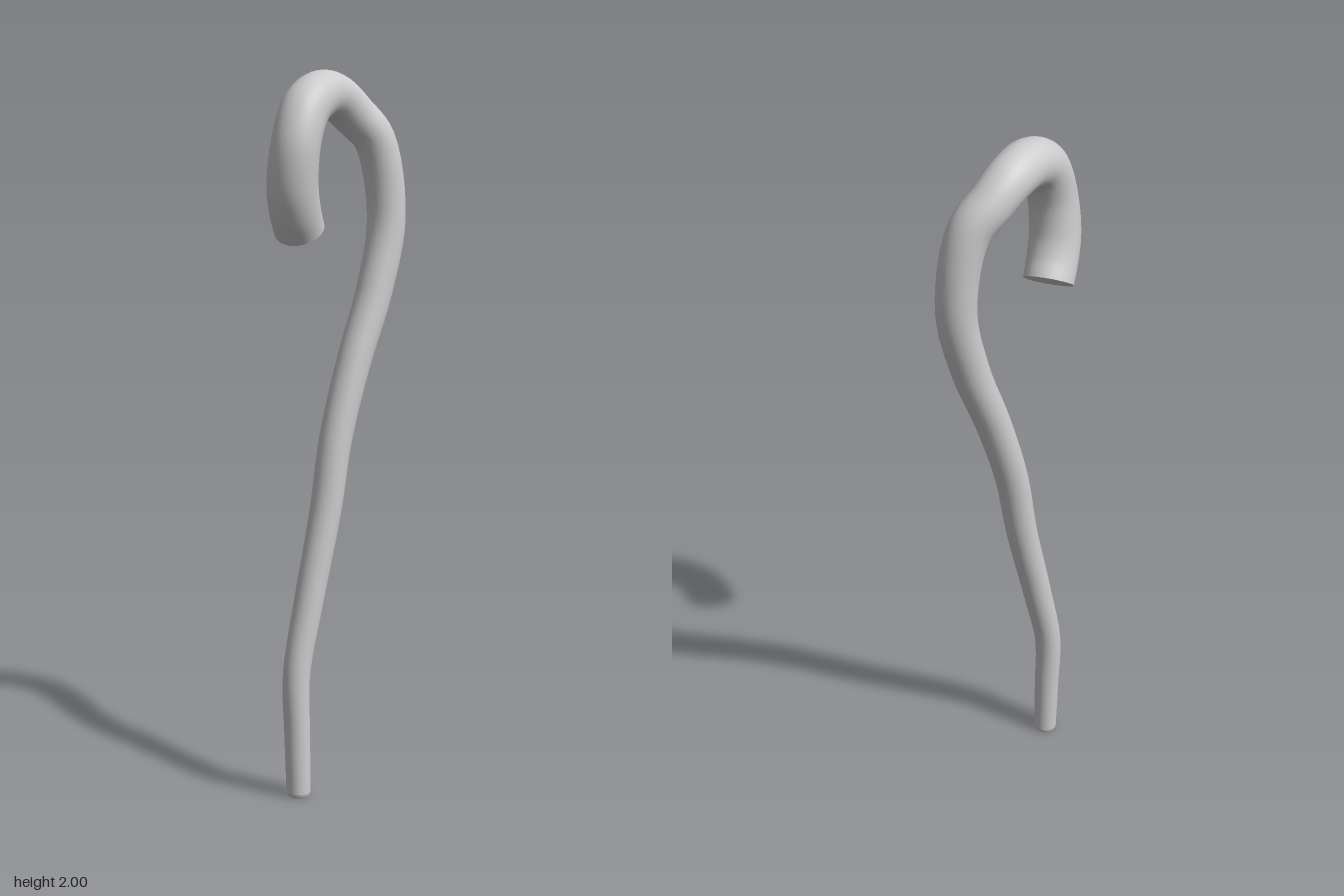
import * as THREE from 'three';

// Centreline stations from foot to crook end: x, y, z, radius
const STATIONS = [
  [0.030, 0.012, 0.160, 0.034],
  [0.026, 0.18, 0.161, 0.036],
  [0.021, 0.35, 0.159, 0.038],
  [0.017, 0.55, 0.114, 0.041],
  [0.011, 0.80, 0.051, 0.044],
  [0.004, 1.00, 0.010, 0.046],
  [-0.004, 1.20, -0.056, 0.048],
  [-0.013, 1.40, -0.137, 0.051],
  [-0.023, 1.60, -0.186, 0.054],
  [-0.033, 1.81, -0.152, 0.057], // rear seam
  [-0.044, 1.878, -0.090, 0.060],
  [-0.037, 1.924, -0.025, 0.063],
  [-0.013, 1.935, 0.045, 0.065],
  [0.018, 1.900, 0.119, 0.066],
  [0.036, 1.81, 0.164, 0.066], // front seam
  [0.028, 1.70, 0.170, 0.069],
  [0.012, 1.63, 0.150, 0.069],
  [-0.008, 1.58, 0.122, 0.068],
];
const LAST = STATIONS.length - 1;
const REAR_SEAM = 9, FRONT_SEAM = 14;
const SIDES = 32;

const path = new THREE.CatmullRomCurve3(STATIONS.map(([x, y, z]) => new THREE.Vector3(x, y, z)));
const girth = new THREE.CatmullRomCurve3(STATIONS.map((s, i) => new THREE.Vector3(i, s[3], 0)));

const material = new THREE.MeshStandardMaterial({ color: 0xcccccc });

// One ring of points square to the path at parameter t
function ring(t) {
  const centre = path.getPoint(t);
  const r = girth.getPoint(t).y;
  const tangent = path.getTangent(t);
  const b = new THREE.Vector3().crossVectors(tangent, new THREE.Vector3(1, 0, 0)).normalize();
  const a = new THREE.Vector3().crossVectors(b, tangent);
  const points = [];
  for (let j = 0; j <= SIDES; j++) {
    const angle = (j % SIDES) / SIDES * Math.PI * 2;
    points.push(centre.clone()
      .addScaledVector(a, Math.cos(angle) * r)
      .addScaledVector(b, Math.sin(angle) * r));
  }
  return { centre, tangent, points };
}

// Tapered tube between two stations, with normals pointing away from the path
function limb(name, from, to) {
  const steps = (to - from) * 6;
  const positions = [], normals = [], index = [];
  for (let i = 0; i <= steps; i++) {
    const { centre, points } = ring((from + (to - from) * i / steps) / LAST);
    for (const p of points) {
      const n = p.clone().sub(centre).normalize();
      positions.push(p.x, p.y, p.z);
      normals.push(n.x, n.y, n.z);
    }
  }
  const row = SIDES + 1;
  for (let i = 0; i < steps; i++) {
    for (let j = 0; j < SIDES; j++) {
      const p = i * row + j, q = p + row;
      index.push(p, p + 1, q, p + 1, q + 1, q);
    }
  }
  const geometry = new THREE.BufferGeometry();
  geometry.setAttribute('position', new THREE.Float32BufferAttribute(positions, 3));
  geometry.setAttribute('normal', new THREE.Float32BufferAttribute(normals, 3));
  geometry.setIndex(index);
  const mesh = new THREE.Mesh(geometry, material);
  mesh.name = name;
  return mesh;
}

export function createModel() {
  const cane = new THREE.Group();
  cane.name = 'cane';

  cane.add(
    limb('shaft', 0, REAR_SEAM),
    limb('handleArch', REAR_SEAM, FRONT_SEAM),
    limb('handleTip', FRONT_SEAM, LAST),
  );

  // Flat slanted face closing the crook
  const end = ring(1);
  const cap = new THREE.Mesh(new THREE.CircleGeometry(STATIONS[LAST][3], SIDES), material);
  cap.name = 'handleEndCap';
  cap.position.copy(end.centre);
  cap.quaternion.setFromUnitVectors(new THREE.Vector3(0, 0, 1), end.tangent);
  cap.updateMatrix();
  cane.add(cap);

  // Bevelled foot with a small dimple underneath
  const footProfile = [[0, 0.014], [0.013, 0.012], [0.018, 0.001], [0.028, 0], [0.033, 0.004], [0.034, 0.014]]
    .map(([r, y]) => new THREE.Vector2(r, y));
  const foot = new THREE.Mesh(new THREE.LatheGeometry(footProfile, SIDES), material);
  foot.name = 'foot';
  foot.position.set(STATIONS[0][0], 0, STATIONS[0][2]);
  cane.add(foot);

  return cane;
}
